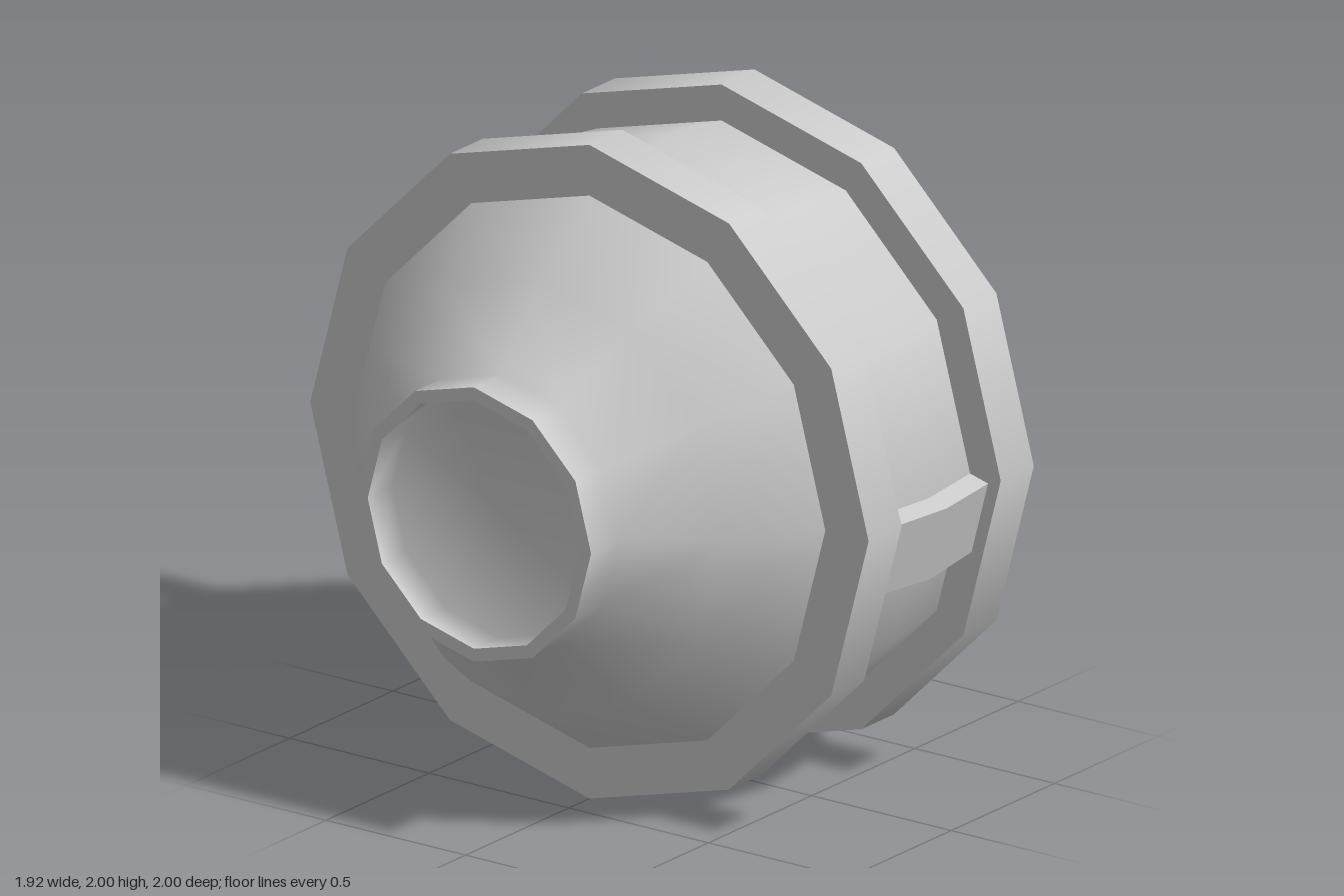
import * as THREE from 'three';

const SIDES = 12;
const material = new THREE.MeshStandardMaterial({ color: 0xcccccc });

function addMesh(parent, name, geometry, mat = material) {
  const mesh = new THREE.Mesh(geometry, mat);
  mesh.name = name;
  parent.add(mesh);
  return mesh;
}

// Twelve-sided turned surface around the x axis, from [x, radius] pairs
function turned(profile) {
  const points = profile.map(([x, r]) => new THREE.Vector2(r, x));
  return new THREE.LatheGeometry(points, SIDES).rotateZ(-Math.PI / 2);
}

// Raised plate on the upper half of one facet of the middle band
function plateGeometry() {
  const rise = 0.067, tilt = Math.PI / 12;
  const dy = -Math.sin(tilt) * rise, dz = Math.cos(tilt) * rise;
  const positions = [], index = [];
  // Cross-sections across x: inner top, outer top, outer bottom, inner bottom
  for (const [x, r] of [[-0.24, 0.89], [0, 0.92], [0.24, 0.89]]) {
    const low = -r * 0.25, lowZ = r * (1 + Math.cos(Math.PI / 6)) / 2;
    positions.push(x, 0, r, x, dy, r + dz, x, low + dy, lowZ + dz, x, low, lowZ);
  }
  for (let s = 0; s < 2; s++) {
    for (let k = 0; k < 4; k++) {
      const a = s * 4 + k, b = s * 4 + (k + 1) % 4;
      index.push(a, b, b + 4, a, b + 4, a + 4);
    }
  }
  index.push(0, 3, 2, 0, 2, 1, 8, 9, 10, 8, 10, 11);
  const geometry = new THREE.BufferGeometry();
  geometry.setAttribute('position', new THREE.Float32BufferAttribute(positions, 3));
  geometry.setIndex(index);
  const flat = geometry.toNonIndexed();
  flat.computeVertexNormals();
  return flat;
}

export function createModel() {
  const model = new THREE.Group();
  model.name = 'sphericalHousing';
  const body = new THREE.Group();
  body.name = 'body';
  body.position.y = 1;
  model.add(body);

  // Middle band between the two flanges
  addMesh(body, 'middleBand', turned([[-0.25, 0.889], [-0.24, 0.89], [0, 0.92], [0.24, 0.89], [0.25, 0.889]]));

  // Matching halves: flange, dome, neck and recessed end
  for (const [side, angle] of [['left', 0], ['right', Math.PI]]) {
    const half = new THREE.Group();
    half.name = side + 'Half';
    half.rotation.y = angle;
    body.add(half);

    addMesh(half, 'flangeEdge', turned([[0.24, 1], [0.4, 1]]));
    addMesh(half, 'flangeInnerFace', turned([[0.24, 0.8], [0.24, 1]]));
    addMesh(half, 'flangeOuterFace', turned([[0.4, 1], [0.4, 0.8]]));
    addMesh(half, 'domeAndNeck', turned([[0.4, 0.845], [0.65, 0.66], [0.83, 0.42], [0.96, 0.42]]));
    addMesh(half, 'neckRim', turned([[0.96, 0.42], [0.96, 0.38]]));
    addMesh(half, 'neckRecess', turned([[0.96, 0.38], [0.84, 0.38], [0.84, 0]]));
  }

  addMesh(body, 'frontPlate', plateGeometry());
  return model;
}
